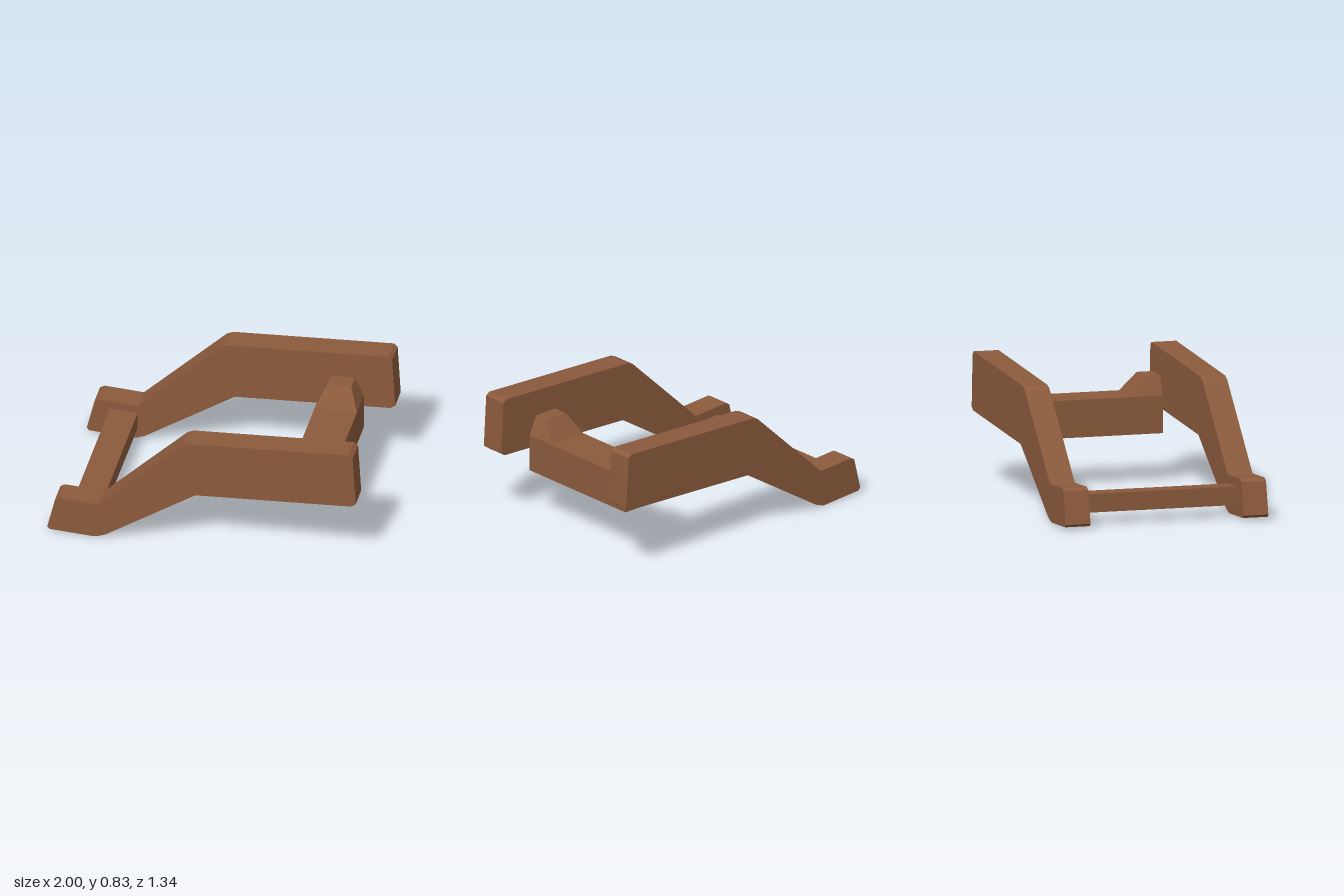
import * as THREE from 'three';

const wood = new THREE.MeshStandardMaterial({ color: 0x8b5a3c, flatShading: true });

// Prism from an x-y outline, spanning z0..z1
function prism(name, outline, z0, z1) {
  const shape = new THREE.Shape(outline.map(([x, y]) => new THREE.Vector2(x, y)));
  const geo = new THREE.ExtrudeGeometry(shape, { depth: z1 - z0, bevelEnabled: false });
  geo.translate(0, 0, z0);
  const mesh = new THREE.Mesh(geo, wood);
  mesh.name = name;
  return mesh;
}

// Tapered block: a box whose top rectangle differs from its bottom one
// rectangles are [x0, x1, z0, z1]
function taperedBlock(name, bottom, top, y0, y1) {
  const geo = new THREE.BoxGeometry(1, 1, 1);
  const p = geo.attributes.position;
  for (let i = 0; i < p.count; i++) {
    const upper = p.getY(i) > 0;
    const r = upper ? top : bottom;
    p.setXYZ(i, r[p.getX(i) > 0 ? 1 : 0], upper ? y1 : y0, r[p.getZ(i) > 0 ? 3 : 2]);
  }
  geo.computeVertexNormals();
  const mesh = new THREE.Mesh(geo, wood);
  mesh.name = name;
  return mesh;
}

export function createModel() {
  const model = new THREE.Group();
  model.name = 'cradleFrame';

  // Cranked side rails with clipped corners
  const rail = [
    [-1, 0.035], [-0.985, 0.018], [-0.7, 0.002], [-0.675, 0.005], [-0.62, 0.027],
    [-0.04, 0.4], [0.97, 0.453], [1, 0.475], [0.98, 0.815], [0.955, 0.835],
    [-0.085, 0.78], [-0.125, 0.763], [-0.665, 0.245], [-0.92, 0.26], [-0.95, 0.243],
  ];
  model.add(prism('leftRail', rail, 0.508, 0.672));
  model.add(prism('rightRail', rail, -0.672, -0.508));

  // Low crossbar, its top sloping slightly
  const bar = [[-0.85, 0.08], [-0.67, 0.08], [-0.67, 0.19], [-0.85, 0.2]];
  model.add(prism('crossbar', bar, -0.51, 0.51));

  // Saddle block between the high ends, with a tapered horn at each end
  const saddle = new THREE.Group();
  saddle.name = 'saddle';
  const base = [0.535, 0.808, -0.452, 0.452];
  saddle.add(taperedBlock('saddleBase', base, base, 0.32, 0.562));
  saddle.add(taperedBlock('frontHorn', [0.535, 0.808, 0.246, 0.452],
    [0.592, 0.751, 0.345, 0.452], 0.562, 0.684));
  saddle.add(taperedBlock('backHorn', [0.535, 0.808, -0.452, -0.246],
    [0.592, 0.751, -0.452, -0.345], 0.562, 0.684));
  model.add(saddle);

  return model;
}
